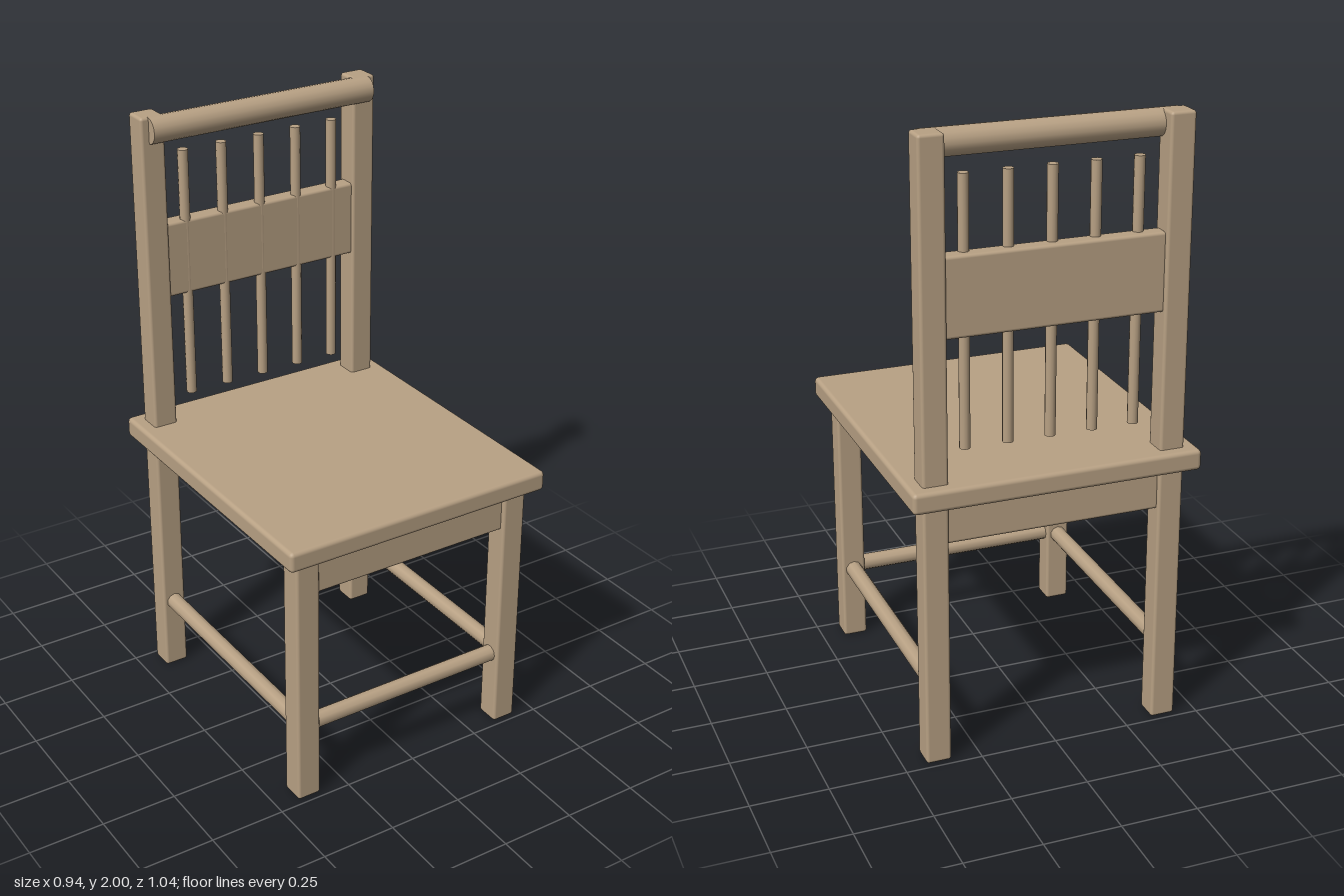
import * as THREE from 'three';
import { RoundedBoxGeometry } from 'three/addons/geometries/RoundedBoxGeometry.js';

export function createModel() {
  const chair = new THREE.Group();
  chair.name = 'chair';
  const wood = new THREE.MeshStandardMaterial({ color: 0xb8a184 });
  wood.name = 'light wood';

  const add = (name, geometry, x, y, z) => {
    const mesh = new THREE.Mesh(geometry, wood);
    mesh.name = name;
    mesh.position.set(x, y, z);
    chair.add(mesh);
    return mesh;
  };

  // Softened board given by its low and high corners
  const board = (name, [x0, y0, z0], [x1, y1, z1], bevel = 0.01) =>
    add(name, new RoundedBoxGeometry(x1 - x0, y1 - y0, z1 - z0, 2, bevel),
      (x0 + x1) / 2, (y0 + y1) / 2, (z0 + z1) / 2);

  // Round bar along one axis
  const bar = (name, axis, radius, length, sides, x, y, z) => {
    const geometry = new THREE.CylinderGeometry(radius, radius, length, sides);
    if (axis === 'x') geometry.rotateZ(Math.PI / 2);
    if (axis === 'z') geometry.rotateX(Math.PI / 2);
    return add(name, geometry, x, y, z);
  };

  board('seat', [-0.47, 0.877, -0.522], [0.47, 0.945, 0.522], 0.014);

  // Legs, tall back posts and side stretchers
  for (const [side, s] of [['left', 1], ['right', -1]]) {
    const x = 0.386 * s;
    board(side + 'FrontLeg', [x - 0.041, 0, 0.401], [x + 0.041, 0.89, 0.482]);
    board(side + 'BackPost', [x - 0.041, 0, -0.482], [x + 0.041, 2, -0.401]);
    bar(side + 'Stretcher', 'z', 0.028, 0.83, 10, x, 0.257, 0);
  }
  bar('frontStretcher', 'x', 0.028, 0.72, 10, 0, 0.257, 0.441);

  // Aprons under the seat
  board('frontApron', [-0.352, 0.743, 0.382], [0.352, 0.865, 0.468]);
  board('backApron', [-0.352, 0.743, -0.468], [0.352, 0.865, -0.379]);

  // Backrest
  bar('topRail', 'x', 0.043, 0.8, 16, 0, 1.957, -0.406);
  board('backSlat', [-0.352, 1.39, -0.468], [0.352, 1.64, -0.41]);
  for (let i = -2; i <= 2; i++) {
    bar('spindle', 'y', 0.017, 0.84, 12, i * 0.137, 1.45, -0.426);
  }

  return chair;
}
